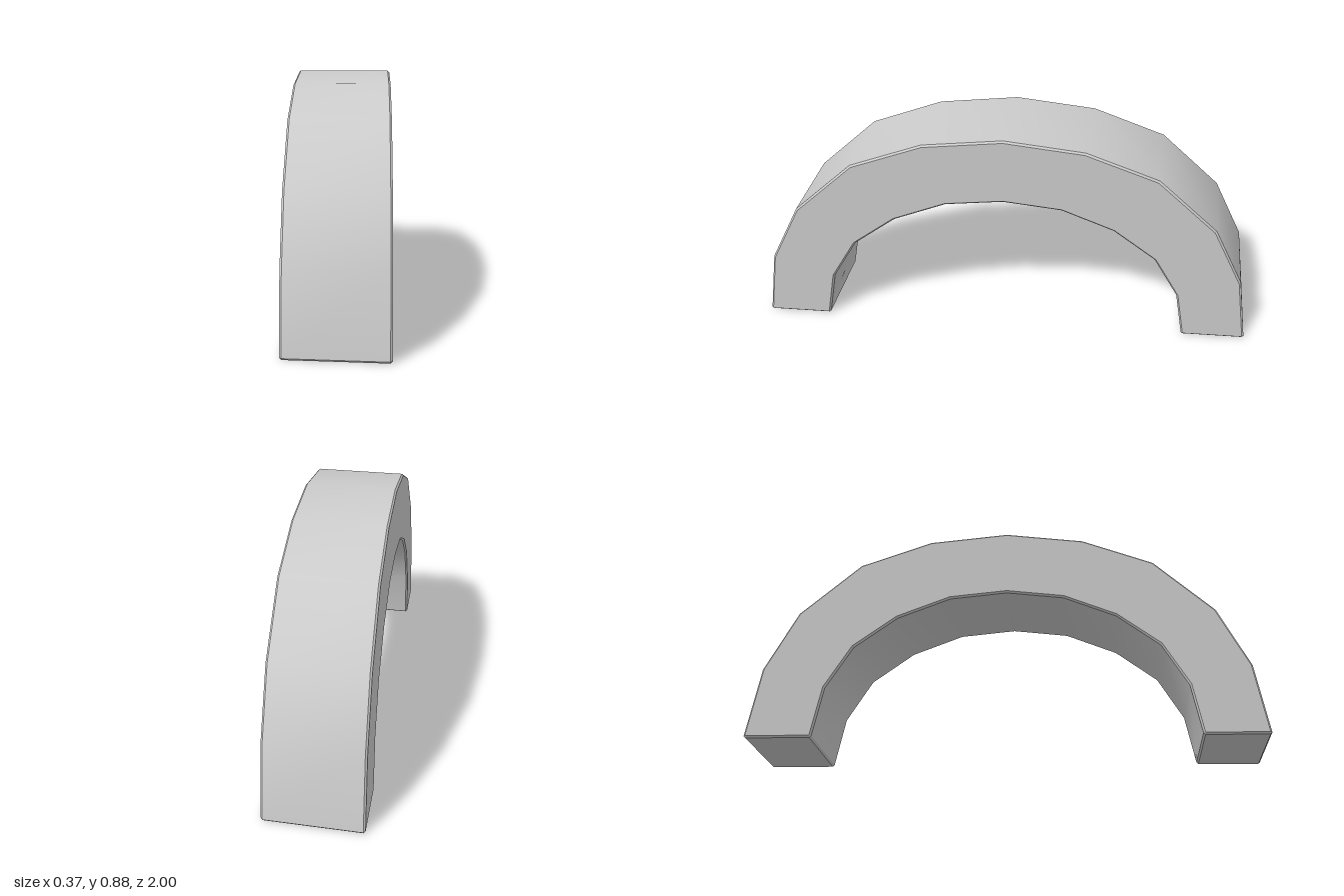
import * as THREE from 'three';
import { toCreasedNormals } from 'three/addons/utils/BufferGeometryUtils.js';

const BEVEL = 0.007;
const HALF_WIDTH = 0.181;

// Right half of each curve as [along, up], from the foot to the crown
const OUTER = [[0.988, BEVEL], [0.943, 0.28], [0.822, 0.52], [0.588, 0.735], [0.308, 0.84], [0, 0.875]];
const INNER = [[0.733, BEVEL], [0.697, 0.2], [0.597, 0.37], [0.43, 0.497], [0.225, 0.58], [0, 0.605]];

// Mirror a half curve into a full span running from + to -
const span = (half) => [...half, ...half.slice(0, -1).reverse().map(([u, y]) => [-u, y])];

export function createModel() {
  const group = new THREE.Group();
  group.name = 'archBlock';

  // Arch profile with softened corners on the feet
  const foot = (s) => [[s * (0.988 - BEVEL), 0], [s * (0.733 + BEVEL), 0]];
  const outline = [...span(OUTER), ...foot(-1), ...span(INNER).reverse(), ...foot(1).reverse()];
  const shape = new THREE.Shape(outline.map(([u, y]) => new THREE.Vector2(u, y)));

  const depth = 2 * (HALF_WIDTH - BEVEL);
  const geometry = new THREE.ExtrudeGeometry(shape, {
    depth, bevelEnabled: true, bevelSegments: 1,
    bevelThickness: BEVEL, bevelSize: BEVEL, bevelOffset: -BEVEL,
  });
  geometry.translate(0, 0, -depth / 2);
  geometry.rotateY(Math.PI / 2);

  // Slight skew: one side face sits further forward than the other
  const pos = geometry.attributes.position;
  for (let i = 0; i < pos.count; i++) {
    const x = pos.getX(i), z = pos.getZ(i);
    pos.setX(i, x + 0.003 * z);
    pos.setZ(i, z + 0.068 * x);
  }

  // Smooth along the curve, sharp at the bevels
  const arch = new THREE.Mesh(
    toCreasedNormals(geometry, 0.41),
    new THREE.MeshStandardMaterial({ color: 0xcccccc }),
  );
  arch.name = 'arch';
  group.add(arch);
  return group;
}
